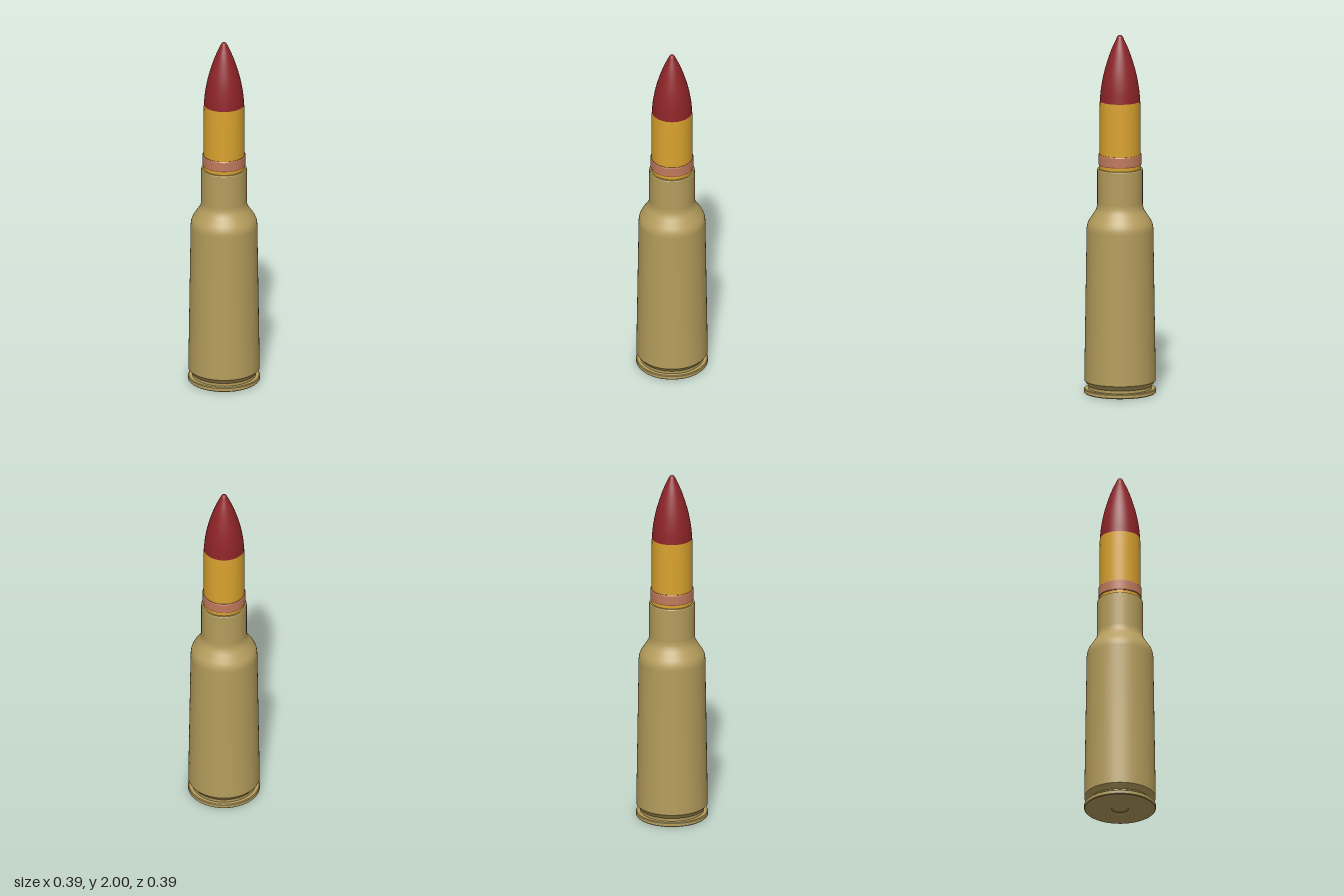
import * as THREE from 'three';
import { mergeGeometries } from 'three/addons/utils/BufferGeometryUtils.js';

const SEGMENTS = 64;

// Lathe several [radius, height] runs listed upward; each join between runs stays a sharp edge.
function turned(name, material, runs) {
  const parts = runs.map((run) =>
    new THREE.LatheGeometry(run.map(([r, y]) => new THREE.Vector2(r, y)), SEGMENTS));
  const mesh = new THREE.Mesh(mergeGeometries(parts), material);
  mesh.name = name;
  return mesh;
}

// Straight-sided profile: every segment is its own run.
const faceted = (points) => points.slice(1).map((p, i) => [points[i], p]);

// Smooth run through a few points.
const smooth = (points, n) =>
  new THREE.SplineCurve(points.map(([r, y]) => new THREE.Vector2(r, y)))
    .getPoints(n).map((p) => [Math.max(p.x, 0), p.y]);

function paint(name, color) {
  const material = new THREE.MeshStandardMaterial({ color });
  material.name = name;
  return material;
}

export function createModel() {
  const brass = paint('brass', 0xb59d5c);
  const gold = paint('gold', 0xd9a22e);
  const copper = paint('copper', 0xc07a5c);
  const red = paint('red', 0x8e2428);

  const model = new THREE.Group();
  model.name = 'cartridge';

  // Rim with a flat base and a shallow primer recess
  model.add(turned('rim', brass, faceted([
    [0, 0.002], [0.045, 0.002], [0.047, 0], [0.193, 0], [0.197, 0.004],
    [0.197, 0.022], [0.193, 0.026], [0.174, 0.026],
  ])));

  // Extractor groove and its flare up to the body
  model.add(turned('extractorGroove', brass, faceted([
    [0.174, 0.026], [0.174, 0.042], [0.196, 0.07],
  ])));

  // Tapered body, rounded shoulder, neck and open mouth
  model.add(turned('case', brass, [
    [[0.196, 0.07], [0.183, 0.915]],
    [[0.183, 0.915], [0.182, 0.93], [0.178, 0.947], [0.168, 0.968], [0.142, 1.007],
      [0.132, 1.024], [0.126, 1.042], [0.125, 1.06]],
    [[0.125, 1.06], [0.125, 1.248]],
    [[0.125, 1.248], [0.122, 1.254]],
    [[0.122, 1.254], [0.113, 1.254]],
  ]));

  // Bullet shank
  model.add(turned('bulletShank', gold, [[[0.113, 1.2], [0.113, 1.5], [0.111, 1.63]]]));

  // Driving band
  model.add(turned('drivingBand', copper, faceted([
    [0.112, 1.274], [0.116, 1.274], [0.119, 1.279], [0.119, 1.329], [0.116, 1.334], [0.112, 1.334],
  ])));

  // Pointed tip
  model.add(turned('bulletTip', red, [smooth([
    [0.111, 1.63], [0.103, 1.71], [0.085, 1.8], [0.054, 1.9], [0.024, 1.97],
    [0.012, 1.993], [0, 2],
  ], 36)]));

  return model;
}
